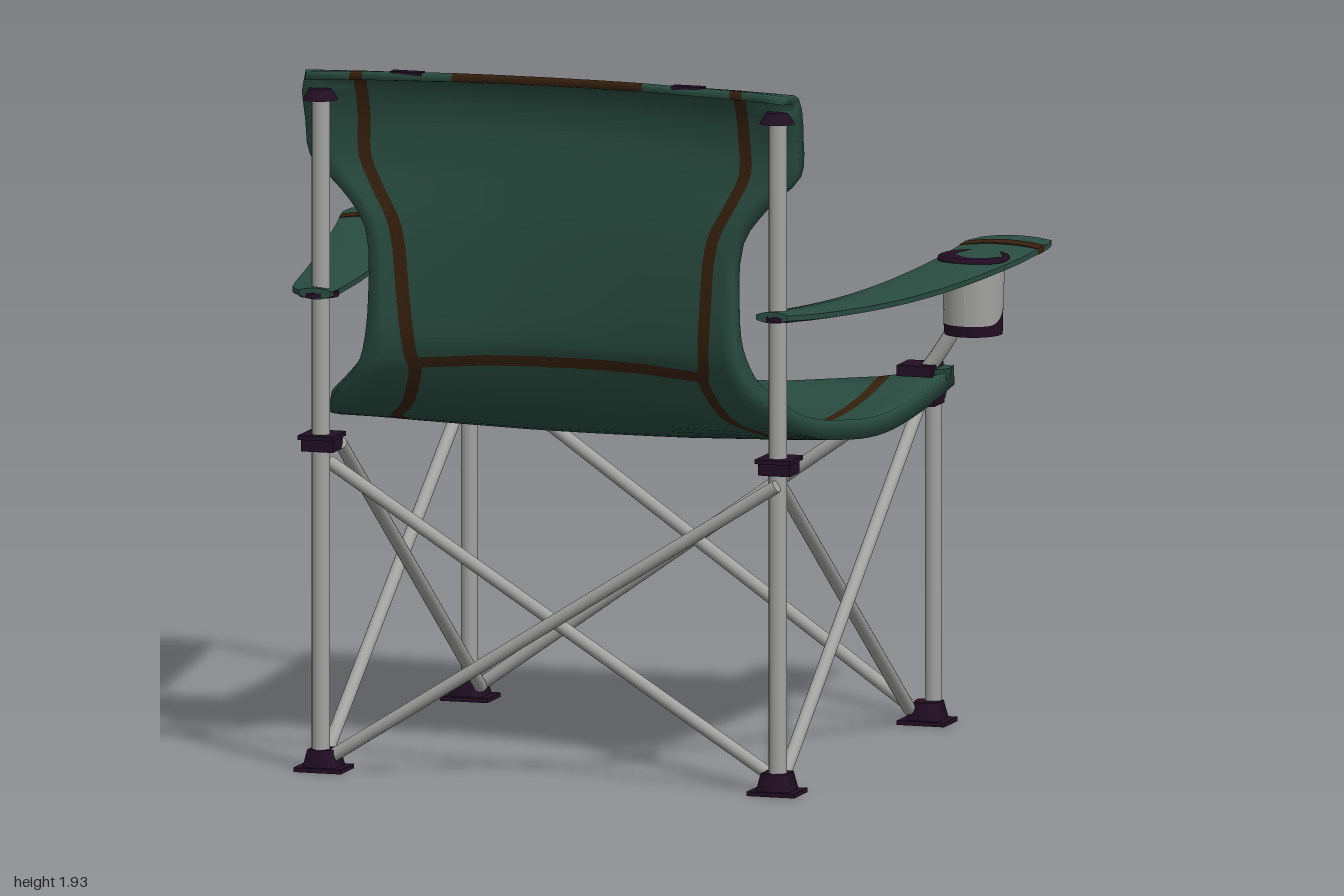
import * as THREE from 'three';

const mat = (name, color) => Object.assign(new THREE.MeshStandardMaterial({ color }), { name });
const V = (x, y, z) => new THREE.Vector3(x, y, z);

export function createModel() {
  const fabric = mat('green fabric', 0x294c40);
  const trim = mat('brown trim', 0x35200d);
  const metal = mat('grey metal', 0xa2a2a0);
  const plastic = mat('dark plastic', 0x220e24);
  const model = new THREE.Group();

  const add = (name, geo, m, x = 0, y = 0, z = 0) => {
    const mesh = new THREE.Mesh(geo, m);
    mesh.name = name;
    mesh.position.set(x, y, z);
    model.add(mesh);
    return mesh;
  };
  const box = (name, w, h, d, x, y, z) => add(name, new THREE.BoxGeometry(w, h, d), plastic, x, y, z);
  const rod = (name, a, b, r) => {
    const mesh = add(name, new THREE.CylinderGeometry(r, r, a.distanceTo(b), 14), metal);
    mesh.position.copy(a).add(b).multiplyScalar(0.5);
    mesh.quaternion.setFromUnitVectors(V(0, 1, 0), b.clone().sub(a).normalize());
  };

  // Sling: edge (half width, y, z) and centre (stripe x, y, z), from back top to seat front
  const rows = [
    [0.68, 1.905, 0.7, 0.54, 1.92, 0.68], [0.7, 1.895, 0.64, 0.54, 1.9, 0.62],
    [0.7, 1.78, 0.6, 0.54, 1.8, 0.58], [0.69, 1.68, 0.59, 0.54, 1.68, 0.575],
    [0.6, 1.59, 0.595, 0.5, 1.6, 0.575], [0.53, 1.49, 0.6, 0.45, 1.5, 0.575],
    [0.52, 1.3, 0.605, 0.43, 1.32, 0.565], [0.53, 1.2, 0.605, 0.42, 1.18, 0.548],
    [0.555, 1.13, 0.595, 0.415, 1.15, 0.535], [0.575, 1.1, 0.585, 0.41, 1.12, 0.523],
    [0.66, 1.015, 0.53, 0.45, 1.015, 0.465], [0.69, 0.98, 0.42, 0.52, 0.95, 0.36],
    [0.69, 0.945, 0.2, 0.54, 0.893, 0.18], [0.69, 0.92, 0, 0.54, 0.87, 0],
    [0.69, 0.91, -0.2, 0.53, 0.86, -0.2], [0.695, 0.925, -0.45, 0.52, 0.865, -0.45],
    [0.695, 0.955, -0.715, 0.5, 0.885, -0.705],
  ];
  const edge = new THREE.CatmullRomCurve3(rows.map(r => V(r[0], r[1], r[2])));
  const centre = new THREE.CatmullRomCurve3(rows.map(r => V(r[3], r[4], r[5])));
  const SUB = 3, N = (rows.length - 1) * SUB;
  const pos = [], faces = [[], []];
  let cols = 0;
  for (let i = 0; i <= N; i++) {
    const e = edge.getPoint(i / N), c = centre.getPoint(i / N), s = c.x;
    const tan = centre.getTangent(i / N);
    const n = V(0, -tan.z, tan.y).normalize();
    const panel = 0.27 - 0.05 * Math.min(1, i / 6);
    const half = [e.x, (e.x + s + 0.0175) / 2, s + 0.0175, s - 0.0175, panel, panel / 2];
    const xs = [...half.map(x => -x), 0, ...half.slice().reverse()];
    cols = xs.length;
    const hem = i < SUB ? 0 : 0.03; // thicker padding along the side edges
    const put = (x, off, pad) => {
      const f = Math.abs(x / e.x) ** 2.4, o = off - pad * f;
      pos.push(x, c.y + (e.y - c.y) * f + n.y * o, c.z + (e.z - c.z) * f + n.z * o);
    };
    xs.forEach(x => put(x, 0.012, 0));
    xs.slice().reverse().forEach(x => put(x, -0.012, hem));
  }
  const ring = cols * 2;
  const quad = (m, a, b, c, d) => faces[m].push(a, b, c, b, d, c);
  const isStripe = k => k === 2 || k === cols - 4;
  const isPanel = k => k >= 4 && k <= cols - 6;
  for (let i = 0; i < N; i++) {
    for (let k = 0; k < ring; k++) {
      const k2 = (k + 1) % ring;
      const col = k < cols ? k : ring - 2 - k;
      const cross = i >= 8 * SUB && i < 9 * SUB && col > 2 && col < cols - 4;
      const brown = isStripe(col) || cross || (k < cols && i < 6 && isPanel(col));
      quad(brown ? 1 : 0, i * ring + k, i * ring + k2, (i + 1) * ring + k, (i + 1) * ring + k2);
    }
  }
  for (let k = 0; k < cols - 1; k++) {
    const under = ring - 1 - k, o = N * ring;
    quad(isStripe(k) || isPanel(k) ? 1 : 0, k + 1, k, under - 1, under);
    quad(isStripe(k) ? 1 : 0, o + k, o + k + 1, o + under, o + under - 1);
  }
  const sling = new THREE.BufferGeometry();
  sling.setAttribute('position', new THREE.Float32BufferAttribute(pos, 3));
  sling.setIndex([...faces[0], ...faces[1]]);
  sling.addGroup(0, faces[0].length, 0);
  sling.addGroup(faces[0].length, faces[1].length, 1);
  sling.computeVertexNormals();
  add('seatAndBackSling', sling, [fabric, trim]);

  // Armrests: a flat strip that widens towards the front and dips in the middle
  const armPart = (name, side, zFront, t0, t1, thick, m) => {
    const g = new THREE.BoxGeometry(1, 1, 1, 6, 1, 28);
    const p = g.attributes.position;
    for (let i = 0; i < p.count; i++) {
      const t = t0 + (t1 - t0) * (0.5 - p.getZ(i)), u = p.getX(i) * 2;
      const outer = 0.71 + 0.29 * Math.pow(t, 0.8), inner = 0.59 + 0.18 * Math.pow(t, 0.8);
      const round = t > 0.96 ? 1 - ((t - 0.96) / 0.04) ** 2 * 0.14 : t < 0.06 ? 0.75 + t * 4.1 : 1;
      const x = (outer + inner) / 2 + (outer - inner) / 2 * u * round;
      const lens = 1 - 0.55 * u * u;
      const y = 1.312 - 0.03 * Math.sin(Math.PI * Math.min(1, t * 1.05)) + (t > 0.85 ? (t - 0.85) * 0.06 : 0);
      p.setXYZ(i, x * side, y + p.getY(i) * thick * lens, 0.71 + (zFront - 0.71) * t);
    }
    if (side < 0) { // mirrored strips need their corners reversed
      const ix = g.index.array;
      for (let i = 0; i < ix.length; i += 3) [ix[i], ix[i + 1]] = [ix[i + 1], ix[i]];
    }
    g.computeVertexNormals();
    add(name, g, m);
  };

  for (const side of [-1, 1]) {
    const zPost = side > 0 ? -0.65 : -0.575, zLeg = -0.643, zFoot = -0.62;
    const zArm = side > 0 ? -0.68 : -0.605;
    const X = x => x * side;

    // Legs, feet and joints
    rod('backPole', V(X(0.65), 0.02, 0.66), V(X(0.65), 1.86, 0.66), 0.025);
    rod('frontLeg', V(X(0.66), 0.02, zLeg), V(X(0.66), 0.94, zLeg), 0.023);
    for (const [x, z] of [[0.645, 0.65], [0.65, zFoot]]) {
      box('footPad', 0.135, 0.012, 0.115, X(x), 0.006, z);
      const block = add('footBlock', new THREE.CylinderGeometry(0.05, 0.065, 0.05, 4), plastic, X(x), 0.035, z);
      block.rotation.y = Math.PI / 4;
    }
    box('backJoint', 0.09, 0.035, 0.085, X(0.65), 0.893, 0.65);
    box('backJointFlange', 0.1, 0.012, 0.115, X(0.65), 0.915, 0.65);
    box('frontJoint', 0.08, 0.05, 0.09, X(0.65), 0.9, -0.605);
    box('seatCorner', 0.1, 0.03, 0.1, X(0.62), 0.963, zPost);
    add('cornerPocket', new THREE.CylinderGeometry(0.05, 0.03, 0.085, 10), fabric, X(0.655), 0.925, -0.665);
    add('poleCap', new THREE.CylinderGeometry(0.03, 0.048, 0.03, 16), plastic, X(0.65), 1.852, 0.665);
    add('armCollar', new THREE.CylinderGeometry(0.055, 0.055, 0.014, 18), plastic, X(0.655), 1.306, 0.66);
    box('topLoop', 0.09, 0.01, 0.03, X(0.4), 1.922, 0.67);

    // Side cross bars
    rod('sideBar', V(X(0.65), 0.04, 0.61), V(X(0.64), 0.89, -0.605), 0.018);
    rod('sideBar', V(X(0.61), 0.89, 0.61), V(X(0.61), 0.04, zFoot + 0.03), 0.018);

    // Bent arm post
    const bend = [[0.63, 0.95], [0.675, 1.01], [0.725, 1.1], [0.738, 1.2], [0.748, 1.27], [0.81, 1.302]];
    const path = new THREE.CatmullRomCurve3(bend.map(([x, y]) => V(X(x), y, zPost)));
    add('armPost', new THREE.TubeGeometry(path, 28, 0.021, 12), metal);

    armPart('armrest', side, zArm, 0, 1, 0.032, fabric);
    const t = side > 0 ? 0.935 : 0.925;
    armPart('armStripe', side, zArm, t - 0.014, t + 0.014, 0.038, trim);
  }

  // Back and front cross bars
  rod('backBar', V(-0.64, 0.84, 0.62), V(0.62, 0.04, 0.61), 0.018);
  rod('backBar', V(0.66, 0.85, 0.7), V(-0.62, 0.04, 0.66), 0.018);
  rod('frontBar', V(-0.62, 0.92, -0.57), V(0.62, 0.04, -0.6), 0.018);
  rod('frontBar', V(0.62, 0.92, -0.6), V(-0.62, 0.04, -0.6), 0.018);

  // Cup holder: the dark base rises to a peak on its outer front side
  const cx = 0.845, cz = -0.43;
  const swoop = (g, yCut) => {
    const p = g.attributes.position;
    for (let i = 0; i < p.count; i++) {
      const facing = Math.max(0, 0.75 * p.getX(i) - 0.65 * p.getZ(i)) / 0.082;
      if (Math.abs(p.getY(i) - yCut) < 0.001) p.setY(i, yCut + 0.07 * facing ** 3);
    }
    g.computeVertexNormals();
    return g;
  };
  add('cupHolder', swoop(new THREE.CylinderGeometry(0.085, 0.081, 0.15, 32, 1, true), -0.075), metal, cx, 1.21, cz);
  add('cupBase', swoop(new THREE.CylinderGeometry(0.081, 0.079, 0.03, 32), 0.015), plastic, cx, 1.12, cz);
  add('cupLid', new THREE.CylinderGeometry(0.095, 0.09, 0.032, 32), plastic, cx, 1.298, cz);
  const rim = add('cupRim', new THREE.TorusGeometry(0.088, 0.01, 8, 32), plastic, cx, 1.311, cz);
  rim.rotation.x = Math.PI / 2;

  return model;
}
